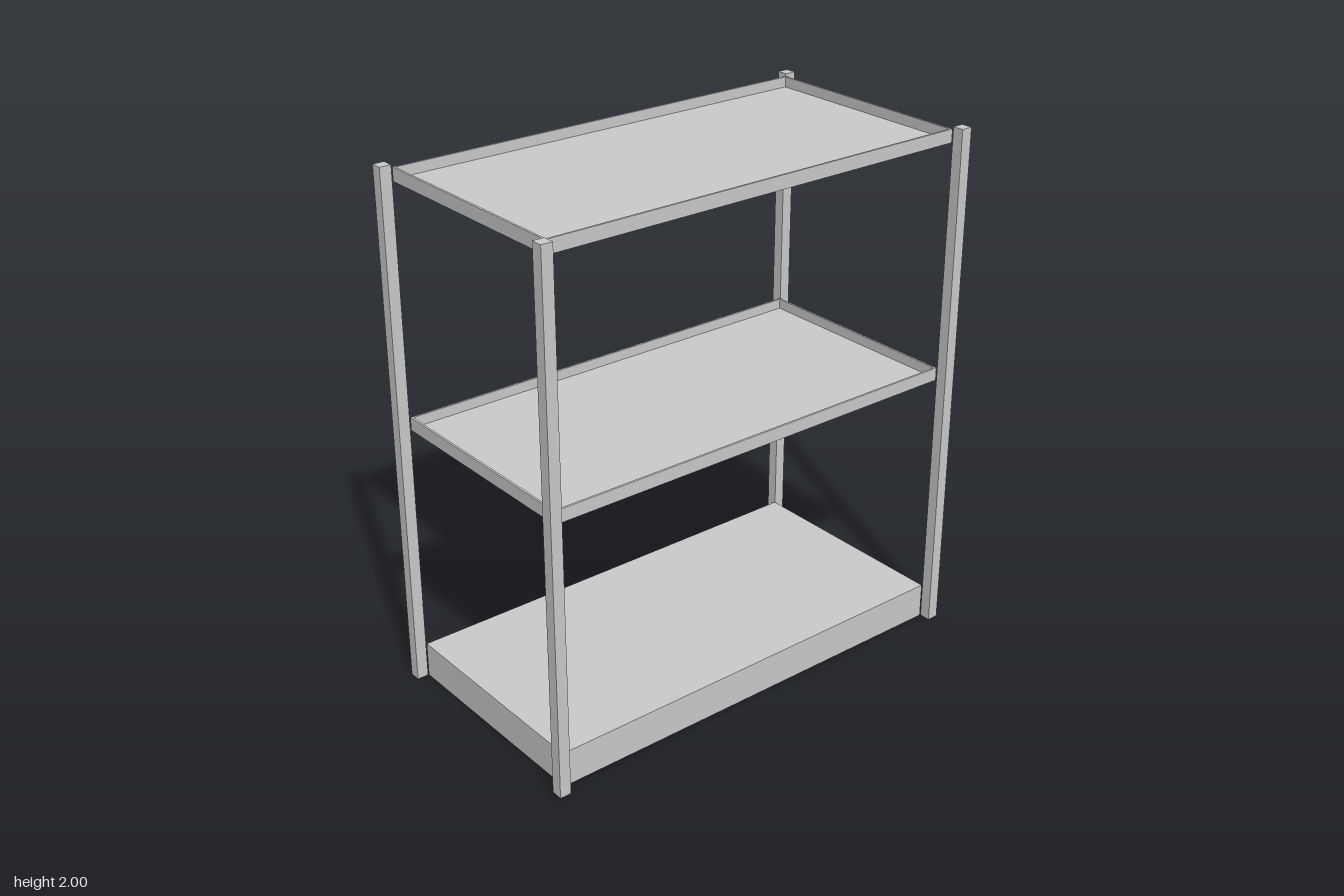
import * as THREE from 'three';

const HALF_X = 0.866, HALF_Z = 0.434; // outer half size of each shelf
const WALL = 0.008; // sheet thickness
const POST = 0.044;

export function createModel() {
  const model = new THREE.Group();
  const material = new THREE.MeshStandardMaterial({ color: 0xcccccc, flatShading: true });

  const box = (parent, name, w, h, d, x, y, z) => {
    const mesh = new THREE.Mesh(new THREE.BoxGeometry(w, h, d), material);
    mesh.name = name;
    mesh.position.set(x, y, z);
    parent.add(mesh);
  };

  // Four walls around a flat panel; y is the bottom of the walls
  const addShelf = (name, y, height, panelBottom, panelThickness) => {
    const shelf = new THREE.Group();
    shelf.name = name;
    shelf.position.y = y;
    for (const s of [-1, 1]) {
      box(shelf, s > 0 ? 'frontWall' : 'backWall', 2 * HALF_X, height, WALL,
        0, height / 2, s * (HALF_Z - WALL / 2));
      box(shelf, s > 0 ? 'leftWall' : 'rightWall', WALL, height, 2 * (HALF_Z - WALL),
        s * (HALF_X - WALL / 2), height / 2, 0);
    }
    box(shelf, 'panel', 2 * (HALF_X - WALL), panelThickness, 2 * (HALF_Z - WALL),
      0, panelBottom + panelThickness / 2, 0);
    model.add(shelf);
  };

  // Base is open underneath; the upper shelves are shallow trays
  addShelf('baseShelf', 0, 0.138, 0.12, 0.018);
  addShelf('middleShelf', 1.027, 0.05, 0.003, 0.008);
  addShelf('topShelf', 1.942, 0.05, 0.003, 0.008);

  // Corner posts
  for (const sx of [-1, 1]) {
    for (const sz of [-1, 1]) {
      const name = (sz > 0 ? 'front' : 'back') + (sx > 0 ? 'Left' : 'Right') + 'Post';
      box(model, name, POST, 2, POST, sx * 0.891, 1, sz * 0.457);
    }
  }
  return model;
}
